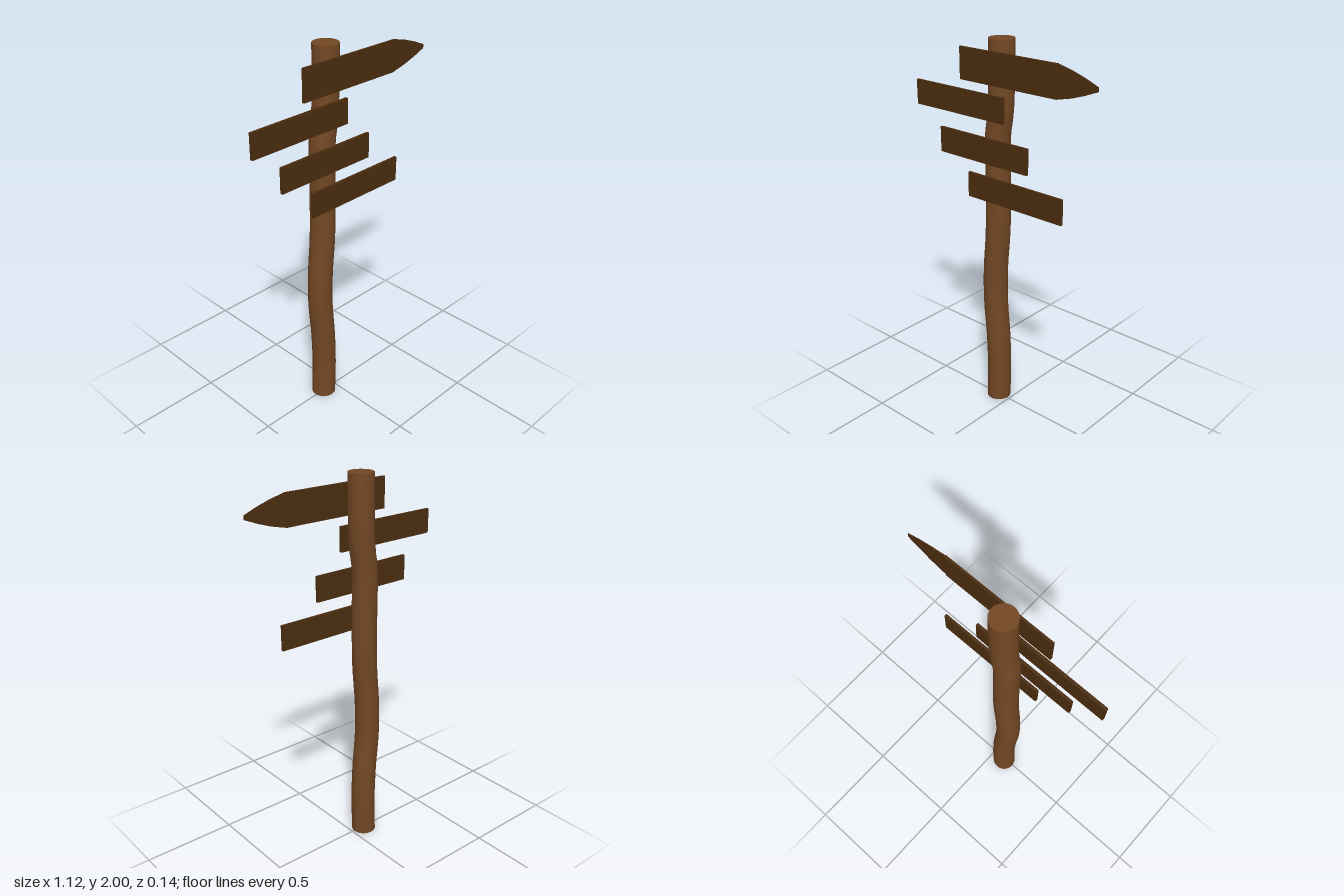
import * as THREE from 'three';
import { toCreasedNormals } from 'three/addons/utils/BufferGeometryUtils.js';

const postWood = new THREE.MeshStandardMaterial({ color: 0x734824 });
postWood.name = 'post wood';
const boardWood = new THREE.MeshStandardMaterial({ color: 0x4c2d0f });
boardWood.name = 'board wood';

const BOARD_Z = 0.0625;

// Round post whose cross-sections slide sideways along a crooked centre line
function makePost() {
  const height = 2, radius = 0.0645;
  const line = new THREE.SplineCurve([
    [0, -0.077], [0.2, -0.072], [0.4, -0.079], [0.6, -0.096], [0.8, -0.094], [1.0, -0.078],
    [1.2, -0.074], [1.4, -0.075], [1.52, -0.075], [1.64, -0.057], [1.8, -0.05], [2.0, -0.048],
  ].map(([y, x]) => new THREE.Vector2(y, x)));
  // Sample the line once, then look the offset up by height
  const samples = line.getPoints(400);
  const offsetAt = (y) => samples.reduce((a, b) => (Math.abs(b.x - y) < Math.abs(a.x - y) ? b : a)).y;

  const geo = new THREE.CylinderGeometry(radius, radius, height, 32, 40);
  geo.translate(0, height / 2, -0.006);
  const pos = geo.attributes.position;
  for (let i = 0; i < pos.count; i++) pos.setX(i, pos.getX(i) + offsetAt(pos.getY(i)));
  const post = new THREE.Mesh(toCreasedNormals(geo, Math.PI / 4), postWood);
  post.name = 'post';
  return post;
}

// Rectangular board given by its edges
function makeBoard(name, x0, x1, y0, y1, depth = 0.015) {
  const board = new THREE.Mesh(new THREE.BoxGeometry(x1 - x0, y1 - y0, depth), boardWood);
  board.name = name;
  board.position.set((x0 + x1) / 2, (y0 + y1) / 2, BOARD_Z);
  return board;
}

// Thin, slightly bowed point on the end of the top board
function makePoint() {
  const depth = 0.006;
  const shape = new THREE.Shape([
    [0.34, 1.785], [0.42, 1.804], [0.49, 1.827], [0.56, 1.855],
    [0.56, 1.875], [0.49, 1.903], [0.42, 1.926], [0.34, 1.945],
  ].map(([x, y]) => new THREE.Vector2(x, y)));
  const geo = new THREE.ExtrudeGeometry(shape, { depth, bevelEnabled: false });
  const point = new THREE.Mesh(geo, boardWood);
  point.name = 'arrowPoint';
  point.position.z = BOARD_Z - depth / 2;
  return point;
}

export function createModel() {
  const model = new THREE.Group();
  model.name = 'signpost';

  const arrow = new THREE.Group();
  arrow.name = 'arrowBoard';
  arrow.add(makeBoard('arrowShaft', -0.255, 0.34, 1.785, 1.945, 0.012), makePoint());

  model.add(
    makePost(),
    arrow,
    makeBoard('upperBoard', -0.563, 0.022, 1.61, 1.738),
    makeBoard('middleBoard', -0.4, 0.172, 1.388, 1.52),
    makeBoard('lowerBoard', -0.21, 0.385, 1.19, 1.32),
  );
  return model;
}
